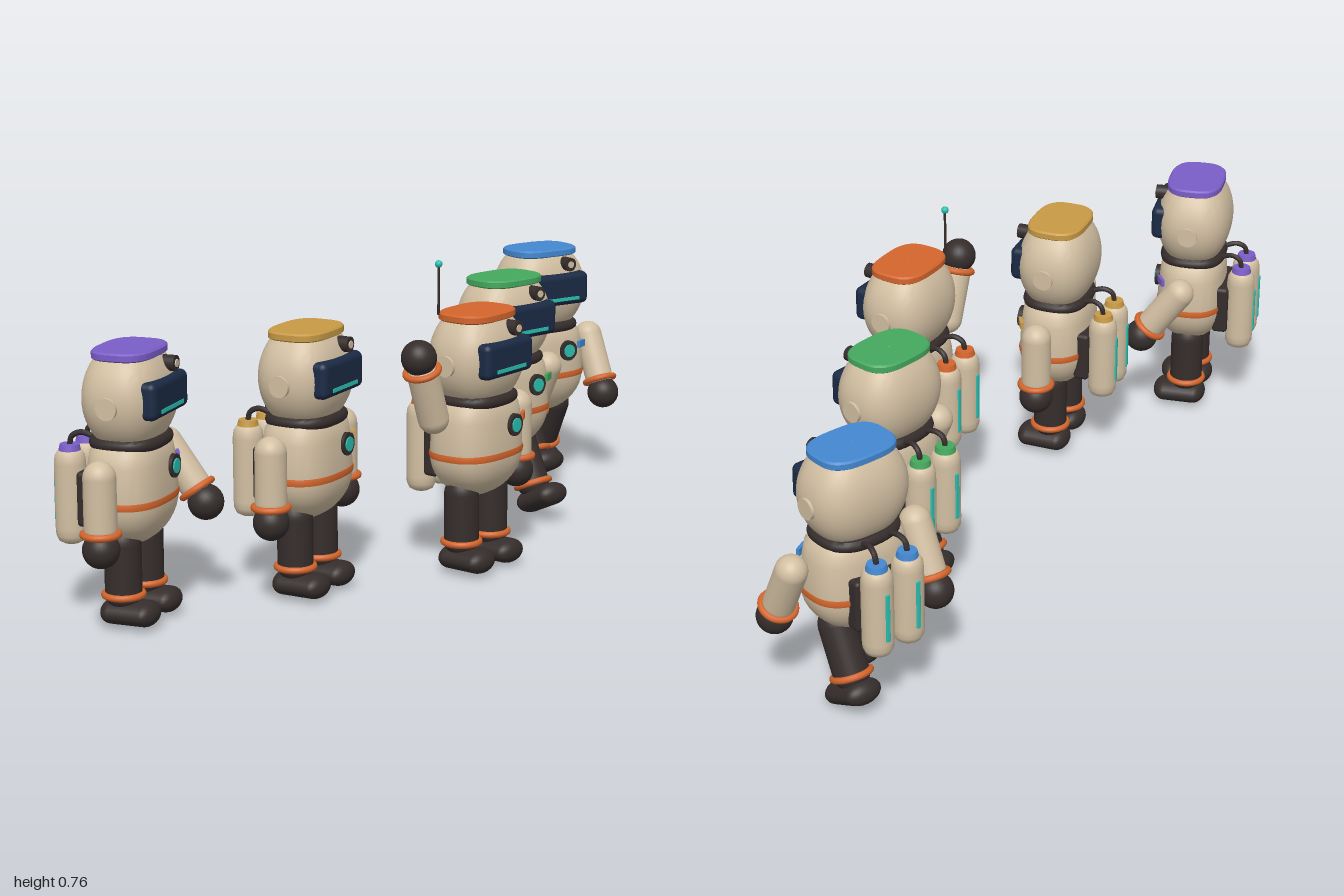
import * as THREE from 'three';
import { toCreasedNormals } from 'three/addons/utils/BufferGeometryUtils.js';
import { RoundedBoxGeometry } from 'three/addons/geometries/RoundedBoxGeometry.js';

const material = (name, color) => {
  const m = new THREE.MeshStandardMaterial({ color });
  m.name = name;
  return m;
};

// Stack of superelliptic rings [y, halfWidth, halfDepth], bottom to top
function loft(rings, power = 2.6, crease = 0.7) {
  const n = 48, pos = [], idx = [];
  const bend = (v) => Math.sign(v) * Math.pow(Math.abs(v), 2 / power);
  for (const [y, rx, rz] of rings) {
    for (let j = 0; j < n; j++) {
      const t = (j / n) * Math.PI * 2;
      pos.push(rx * bend(Math.cos(t)), y, rz * bend(Math.sin(t)));
    }
  }
  for (let i = 0; i < rings.length - 1; i++) {
    for (let j = 0; j < n; j++) {
      const a = i * n + j, b = i * n + ((j + 1) % n);
      idx.push(a, a + n, b, b, a + n, b + n);
    }
  }
  const g = new THREE.BufferGeometry();
  g.setAttribute('position', new THREE.Float32BufferAttribute(pos, 3));
  g.setIndex(idx);
  return toCreasedNormals(g, crease);
}

function add(parent, name, geometry, mat, x = 0, y = 0, z = 0) {
  const m = new THREE.Mesh(geometry, mat);
  m.name = name;
  m.position.set(x, y, z);
  parent.add(m);
  return m;
}

const disc = (r, depth) => new THREE.CylinderGeometry(r, r, depth, 28).rotateX(Math.PI / 2);
const ring = (r, tube) => new THREE.TorusGeometry(r, tube, 10, 32).rotateX(Math.PI / 2);
const deg = THREE.MathUtils.degToRad;

export function createModel() {
  const suit = material('suit cream', 0xd2bfa2);
  const dark = material('dark rubber', 0x352d2c);
  const navy = material('visor navy', 0x1b2a45);
  const teal = material('glow teal', 0x2bc0b0);
  const orange = material('trim orange', 0xd4652c);
  const purple = material('purple', 0x7b5ec9);
  const gold = material('gold', 0xc89a45);
  const green = material('green', 0x45a95f);
  const blue = material('blue', 0x4488d0);

  // Barrel shaped helmet
  const headRings = [[0.43, 0.001, 0.001]];
  for (let i = 0; i <= 16; i++) {
    const y = 0.43 + (0.19 * i) / 16;
    const s = Math.sqrt(1 - ((y - 0.527) / 0.13) ** 2);
    headRings.push([y, 0.123 * s, 0.095 * s]);
  }
  headRings.push([0.62, 0.001, 0.001]);
  const headGeo = loft(headRings);

  // Torso with a rounded bottom
  const torsoRings = [];
  for (let i = 0; i <= 10; i++) {
    const a = (i / 10) * Math.PI / 2;
    torsoRings.push([0.295 - 0.108 * Math.cos(a), 0.001 + 0.122 * Math.sin(a), 0.001 + 0.088 * Math.sin(a)]);
  }
  torsoRings.push([0.34, 0.122, 0.087], [0.38, 0.118, 0.084], [0.408, 0.112, 0.08],
    [0.42, 0.102, 0.073], [0.422, 0.001, 0.001]);
  const torsoGeo = loft(torsoRings);

  const collarGeo = loft([[0.414, 0.001, 0.001], [0.414, 0.093, 0.078], [0.419, 0.099, 0.083], [0.427, 0.101, 0.085],
    [0.435, 0.099, 0.083], [0.44, 0.093, 0.078], [0.44, 0.001, 0.001]]);
  const beltGeo = loft([[0.287, 0.118, 0.083], [0.288, 0.124, 0.0895], [0.296, 0.126, 0.091],
    [0.304, 0.124, 0.0895], [0.305, 0.118, 0.083]]);
  const capGeo = loft([[0.617, 0.001, 0.001], [0.617, 0.092, 0.067], [0.62, 0.096, 0.071], [0.633, 0.096, 0.071],
    [0.637, 0.092, 0.067], [0.637, 0.001, 0.001]], 3);

  // Shoulder pivot holds sleeve, cuff and glove
  function arm(parent, side, swing, raise) {
    const g = new THREE.Group();
    g.name = side > 0 ? 'leftArm' : 'rightArm';
    g.position.set(side * 0.166, 0.39, 0);
    g.rotation.set(-deg(swing), 0, deg(side * raise));
    parent.add(g);
    add(g, 'sleeve', new THREE.CapsuleGeometry(0.037, 0.115, 10, 28), suit, 0, -0.072, 0);
    add(g, 'cuff', ring(0.039, 0.008), orange, 0, -0.142, 0);
    add(g, 'glove', new THREE.SphereGeometry(0.042, 28, 18), dark, 0, -0.178, 0);
  }

  // Hip pivot holds trouser leg, ankle ring and boot
  function leg(parent, side, swing) {
    const g = new THREE.Group();
    g.name = side > 0 ? 'leftLeg' : 'rightLeg';
    g.position.set(side * 0.058, 0.21, 0);
    g.rotation.x = -deg(swing);
    parent.add(g);
    add(g, 'trouser', new THREE.CapsuleGeometry(0.042, 0.115, 8, 28), dark, 0, -0.068, 0);
    add(g, 'ankleRing', ring(0.043, 0.008), orange, 0, -0.129, 0);
    const boot = new THREE.CapsuleGeometry(0.029, 0.078, 10, 28).rotateX(Math.PI / 2).scale(1.6, 1, 1);
    add(g, 'boot', boot, dark, 0, -0.17, 0.016);
  }

  function tank(parent, side, accent) {
    const g = new THREE.Group();
    g.name = side > 0 ? 'leftTank' : 'rightTank';
    g.position.set(side * 0.042, 0, -0.133);
    parent.add(g);
    const profile = [[0, 0.183], [0.018, 0.184], [0.029, 0.19], [0.035, 0.203], [0.036, 0.22], [0.036, 0.368],
      [0.034, 0.385], [0.028, 0.396], [0.018, 0.401], [0, 0.402]].map((p) => new THREE.Vector2(...p));
    add(g, 'tankBody', new THREE.LatheGeometry(profile, 28), suit);
    add(g, 'tankCap', new THREE.CylinderGeometry(0.022, 0.025, 0.014, 24), accent, 0, 0.405, 0);
    add(g, 'tankGauge', new RoundedBoxGeometry(0.011, 0.12, 0.006, 2, 0.002), teal, 0, 0.29, -0.036);
    const path = new THREE.CatmullRomCurve3([[0, 0.405, 0], [0, 0.43, 0.006], [-side * 0.004, 0.44, 0.028],
      [-side * 0.008, 0.428, 0.065]].map((p) => new THREE.Vector3(...p)));
    add(g, 'hose', new THREE.TubeGeometry(path, 16, 0.0065, 8), dark);
  }

  function astronaut(name, accent, pose) {
    const g = new THREE.Group();
    g.name = name;
    g.position.set(pose.x, 0, pose.z);
    g.rotation.y = deg(pose.yaw);

    add(g, 'helmet', headGeo, suit);
    add(g, 'collar', collarGeo, dark);
    add(g, 'torso', torsoGeo, suit);
    add(g, 'belt', beltGeo, orange);
    add(g, 'cap', capGeo, accent);

    // Face plate, light strip and head lamp
    add(g, 'visor', new RoundedBoxGeometry(0.184, 0.086, 0.05, 4, 0.016), navy, 0, 0.532, 0.077);
    add(g, 'visorStrip', new THREE.BoxGeometry(0.115, 0.009, 0.004), teal, 0, 0.507, 0.102);
    add(g, 'lamp', disc(0.018, 0.045), dark, 0.03, 0.598, 0.077);
    add(g, 'lampLens', disc(0.009, 0.004), suit, 0.03, 0.598, 0.1);

    // Chest dial and tag
    add(g, 'dialRim', disc(0.027, 0.012), dark, 0.035, 0.362, 0.086);
    add(g, 'dial', disc(0.017, 0.006), teal, 0.035, 0.362, 0.092);
    add(g, 'chestTag', new THREE.BoxGeometry(0.036, 0.018, 0.008), accent, 0.092, 0.372, 0.07).rotation.y = 0.5;

    // Backpack plate
    add(g, 'backPlate', new RoundedBoxGeometry(0.15, 0.127, 0.04, 3, 0.01), dark, 0, 0.293, -0.085);

    for (const side of [1, -1]) {
      const left = side > 0;
      add(g, 'earDisc', new THREE.CylinderGeometry(0.025, 0.025, 0.03, 28).rotateZ(Math.PI / 2), suit,
        side * 0.114, 0.519, 0);
      tank(g, side, accent);
      arm(g, side, (left ? pose.leftArm : pose.rightArm) || 0, left ? 0 : pose.raiseRight || 0);
      leg(g, side, (left ? pose.leftLeg : pose.rightLeg) || 0);
    }
    if (pose.antenna) {
      add(g, 'antennaRod', new THREE.CylinderGeometry(0.003, 0.003, 0.12, 10), dark, -0.083, 0.69, -0.052);
      add(g, 'antennaTip', new THREE.SphereGeometry(0.009, 16, 12), teal, -0.083, 0.751, -0.052);
    }
    return g;
  }

  // Five crew members in a V, swings in degrees forward
  const model = new THREE.Group();
  model.name = 'astronautCrew';
  model.add(
    astronaut('purpleAstronaut', purple, { x: -0.803, z: -0.135, yaw: 18, leftArm: 36 }),
    astronaut('goldAstronaut', gold, { x: -0.4, z: 0.038, yaw: 10 }),
    astronaut('orangeAstronaut', orange, { x: 0.003, z: 0.229, yaw: 0, raiseRight: 160, antenna: true }),
    astronaut('greenAstronaut', green,
      { x: 0.403, z: 0.021, yaw: -10, leftArm: -25, rightArm: 25, leftLeg: 25, rightLeg: -25 }),
    astronaut('blueAstronaut', blue,
      { x: 0.807, z: -0.151, yaw: -18, leftArm: 25, rightArm: -25, leftLeg: -25, rightLeg: 25 }),
  );
  return model;
}
